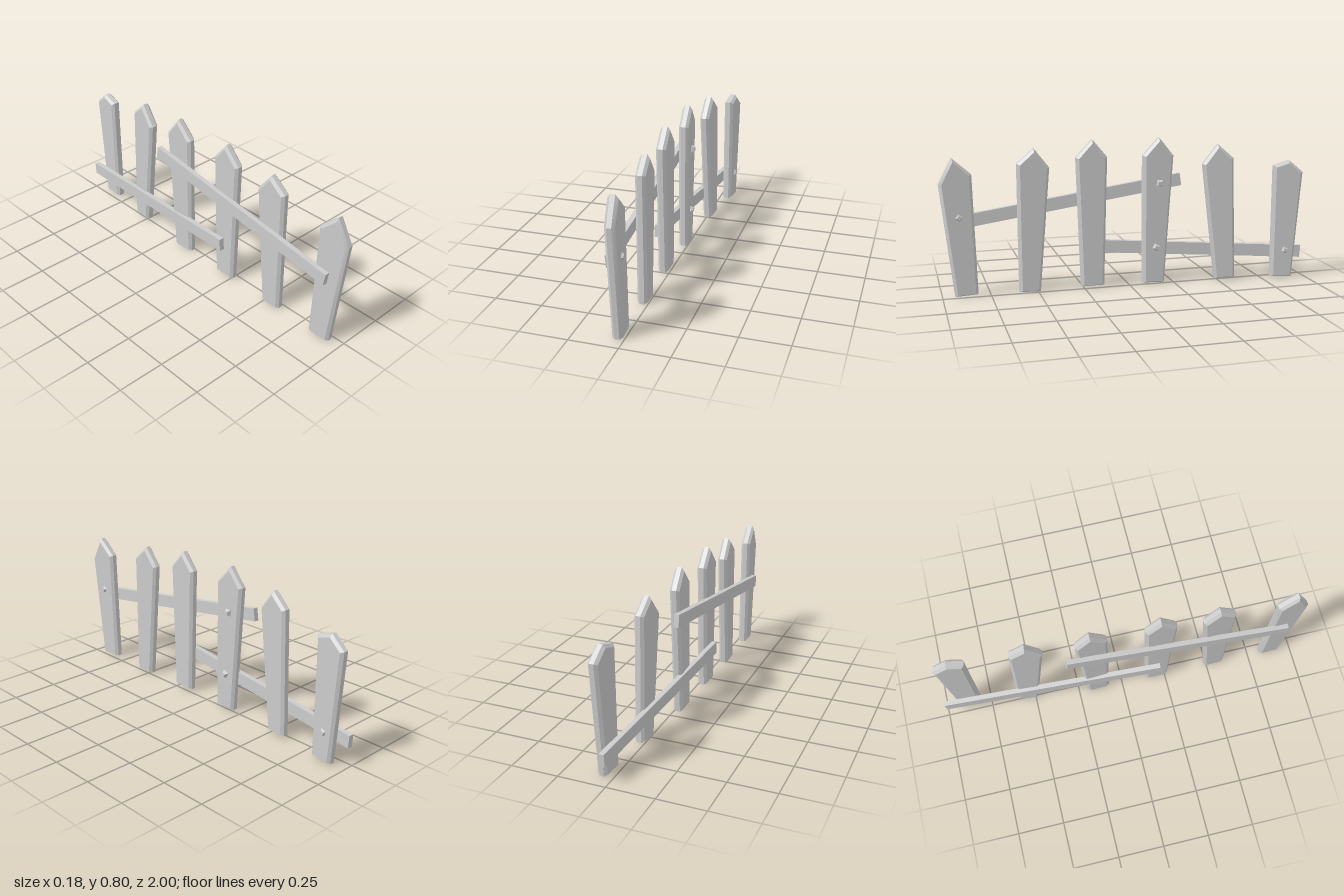
import * as THREE from 'three';
import { toCreasedNormals } from 'three/addons/utils/BufferGeometryUtils.js';

const material = new THREE.MeshStandardMaterial({ color: 0xcccccc });
const THICK = 0.052, BEVEL = 0.014;

// Pointed board with chamfered edges; outline is [z, y] corners, facing +x
function makePicket({ outline, x, yaw }) {
  const midZ = outline.reduce((sum, p) => sum + p[0], 0) / outline.length;
  const shape = new THREE.Shape(outline.map(([z, y]) => new THREE.Vector2(midZ - z, y)));
  const geometry = new THREE.ExtrudeGeometry(shape, {
    depth: THICK - 2 * BEVEL, bevelEnabled: true, bevelSegments: 1,
    bevelSize: BEVEL, bevelOffset: -BEVEL, bevelThickness: BEVEL,
  });
  geometry.translate(0, 0, BEVEL - THICK / 2);
  geometry.rotateY(Math.PI / 2);
  // Shallower chamfer along the foot
  const pos = geometry.attributes.position;
  for (let i = 0; i < pos.count; i++) {
    const y = pos.getY(i);
    if (y < 0.05) pos.setY(i, y * 0.5);
  }
  const mesh = new THREE.Mesh(toCreasedNormals(geometry, 0.5), material);
  mesh.name = 'picket';
  mesh.position.set(x, 0, midZ);
  mesh.rotation.y = yaw;
  return mesh;
}

// Straight rail between two end centres
function makeRail(name, from, to) {
  const a = new THREE.Vector3(...from), b = new THREE.Vector3(...to);
  const mesh = new THREE.Mesh(new THREE.BoxGeometry(0.027, 0.068, a.distanceTo(b)), material);
  mesh.name = name;
  mesh.position.copy(a).add(b).multiplyScalar(0.5);
  mesh.lookAt(b);
  return mesh;
}

// Square tapered nail head pointing along +x
function makeNail([tipX, y, z, turn]) {
  const geometry = new THREE.CylinderGeometry(0.013, 0.023, 0.014, 4).toNonIndexed();
  geometry.translate(0, -0.007, 0);
  const shank = new THREE.CylinderGeometry(0.023, 0.023, 0.012, 4).toNonIndexed();
  shank.translate(0, -0.02, 0);
  const nail = new THREE.Group();
  for (const g of [geometry, shank]) {
    g.rotateY(turn);
    g.rotateZ(-Math.PI / 2);
    g.computeVertexNormals();
    nail.add(new THREE.Mesh(g, material));
  }
  nail.name = 'nail';
  nail.position.set(tipX, y, z);
  return nail;
}

export function createModel() {
  const fence = new THREE.Group();
  fence.name = 'brokenFence';

  // Corners run: foot, foot, shoulder, tip, shoulder
  const pickets = [
    { x: -0.033, yaw: 0.05, outline: [[0.935, 0.01], [0.815, 0.02], [0.832, 0.645], [0.93, 0.732], [1, 0.6]] },
    { x: -0.029, yaw: 0.03, outline: [[0.6, 0.012], [0.487, 0.005], [0.43, 0.665], [0.51, 0.767], [0.6, 0.69]] },
    { x: -0.028, yaw: 0, outline: [[0.265, 0.025], [0.14, 0.025], [0.12, 0.71], [0.2, 0.805], [0.288, 0.71]] },
    { x: -0.021, yaw: 0.03, outline: [[-0.075, 0.02], [-0.197, 0.01], [-0.246, 0.705], [-0.165, 0.805], [-0.075, 0.71]] },
    { x: 0.012, yaw: -0.09, outline: [[-0.483, 0.022], [-0.598, 0.035], [-0.578, 0.685], [-0.49, 0.762], [-0.407, 0.655]] },
    { x: 0.053, yaw: -0.09, outline: [[-0.803, 0.02], [-0.925, 0.01], [-0.972, 0.6], [-0.893, 0.665], [-0.805, 0.638]] },
  ];
  pickets.forEach((p) => fence.add(makePicket(p)));

  // Slanting rails behind the pickets
  fence.add(makeRail('upperRail', [-0.072, 0.388, 0.91], [-0.06, 0.568, -0.3]));
  fence.add(makeRail('lowerRail', [-0.075, 0.222, 0.21], [0.016, 0.136, -0.995]));

  // Nail heads: x of the tip, y, z, turn
  const nails = [
    [0.004, 0.425, 0.902, 0.15],
    [0.022, 0.56, -0.165, 0.7],
    [0.022, 0.208, -0.147, 0.3],
    [0.09, 0.162, -0.877, 0.45],
  ];
  nails.forEach((n) => fence.add(makeNail(n)));
  return fence;
}
